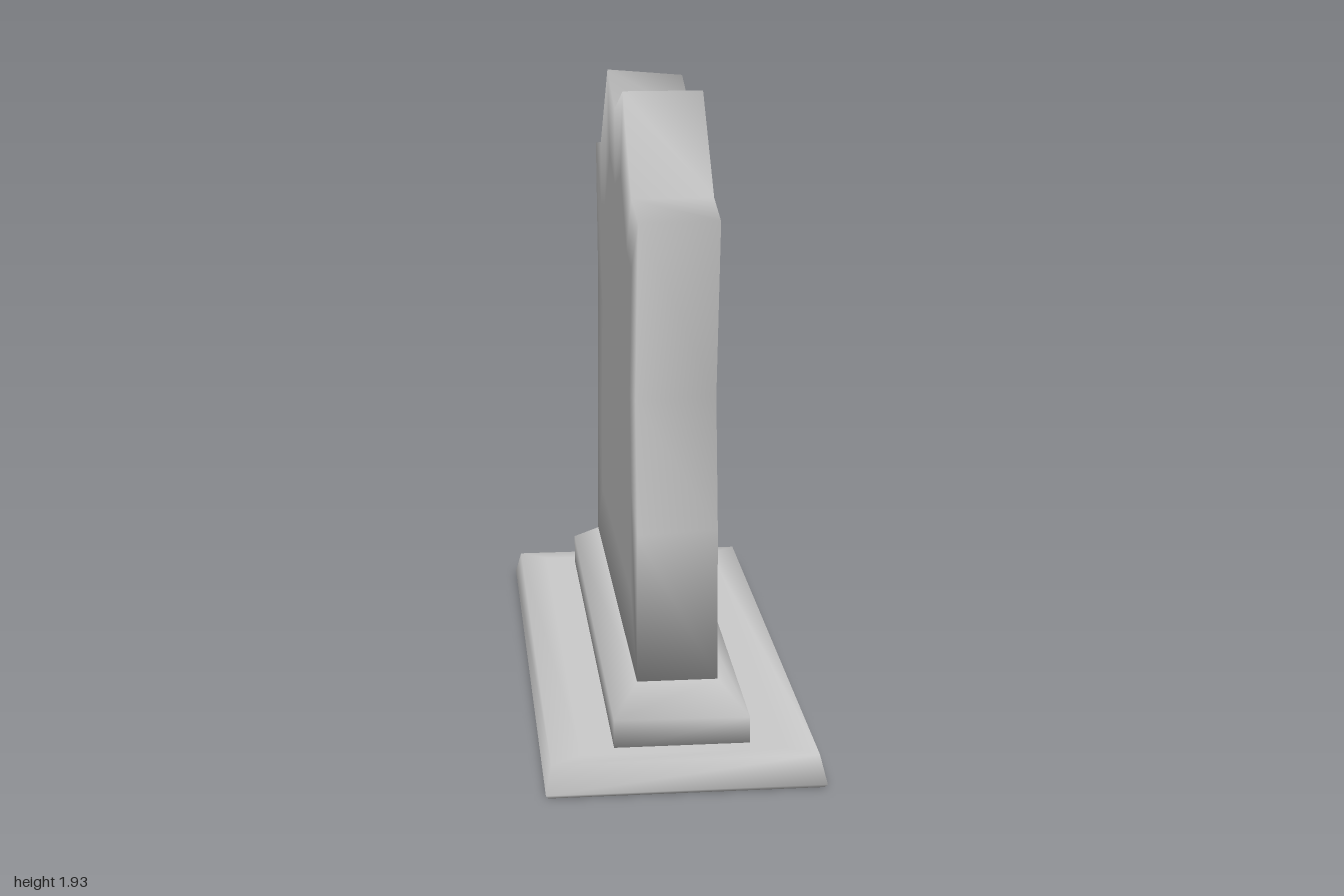
import * as THREE from 'three';

const material = new THREE.MeshStandardMaterial({ color: 0xcccccc });

// Skins a stack of equal-length point loops and closes both ends, smooth shaded
function loft(name, loops) {
  const n = loops[0].length;
  const pos = loops.flat(2);
  const index = [];
  for (let k = 0; k < loops.length - 1; k++) {
    for (let i = 0; i < n; i++) {
      const a = k * n + i, b = k * n + (i + 1) % n;
      index.push(a, b, b + n, a, b + n, a + n);
    }
  }
  const addCap = (loop, start, flip) => {
    const c = pos.length / 3;
    for (let axis = 0; axis < 3; axis++) pos.push(loop.reduce((s, p) => s + p[axis], 0) / n);
    for (let i = 0; i < n; i++) {
      const a = start + i, b = start + (i + 1) % n;
      if (flip) index.push(c, b, a);
      else index.push(c, a, b);
    }
  };
  addCap(loops[0], 0, true);
  addCap(loops[loops.length - 1], (loops.length - 1) * n, false);
  const geometry = new THREE.BufferGeometry();
  geometry.setAttribute('position', new THREE.Float32BufferAttribute(pos, 3));
  geometry.setIndex(index);
  geometry.computeVertexNormals();
  const mesh = new THREE.Mesh(geometry, material);
  mesh.name = name;
  return mesh;
}

const rect = (w, d, y) => [[w, y, d], [w, y, -d], [-w, y, -d], [-w, y, d]];

// Chipped outline of the slab as [z, y], running up the back, over the top and
// down the front; the third and fourth values are the worn left-hand edge.
const outline = [
  [0.72, 0.24], [-0.78, 0.24], [-0.76, 0.7], [-0.71, 1.16], [-0.78, 1.625],
  [-0.56, 1.66, -0.56, 1.635], [-0.27, 1.935, -0.27, 1.915], [0, 1.845, 0, 1.82],
  [0.29, 1.935], [0.57, 1.66], [0.78, 1.63, 0.73, 1.62],
  [0.69, 1.09, 0.65, 1.09], [0.74, 0.7, 0.705, 0.7],
];

function slabLoop(x, scale) {
  return outline.map(([z, y, wornZ = z, wornY = y]) => {
    const [pz, py] = x > 0 ? [wornZ, wornY] : [z, y];
    return [x, 1 + (py - 1) * scale, pz * scale];
  });
}

export function createModel() {
  const group = new THREE.Group();
  group.name = 'gravestone';

  // Bevelled ground plate
  group.add(loft('basePlate', [
    rect(0.33, 0.9, 0), rect(0.4, 0.99, 0), rect(0.408, 1, 0.012),
    rect(0.39, 0.962, 0.09), rect(0.3, 0.9, 0.09),
  ]));

  // Plinth with a raised lip along the rear of its left side
  // Each entry: rim x, rim z, rim y, foot z
  const rim = [
    [0.2, 0.855, 0.17, 0.72], [0.2, 0, 0.19, 0], [0.2, -0.15, 0.23, -0.15],
    [0.2, -0.78, 0.235, -0.74], [0.2, -0.855, 0.185, -0.78],
    [-0.2, -0.855, 0.185, -0.78], [-0.2, 0.855, 0.175, 0.72],
  ];
  group.add(loft('plinth', [
    rim.map(([x, z]) => [x, 0.08, z]),
    rim.map(([x, z, y]) => [x, y, z]),
    rim.map(([x, , , z]) => [x * 0.6, 0.24, z]),
  ]));

  // Upright slab; the inset loops keep the broad faces flat
  group.add(loft('slab', [
    slabLoop(-0.12, 0.72), slabLoop(-0.12, 1),
    slabLoop(0.12, 1), slabLoop(0.12, 0.72),
  ]));

  return group;
}
